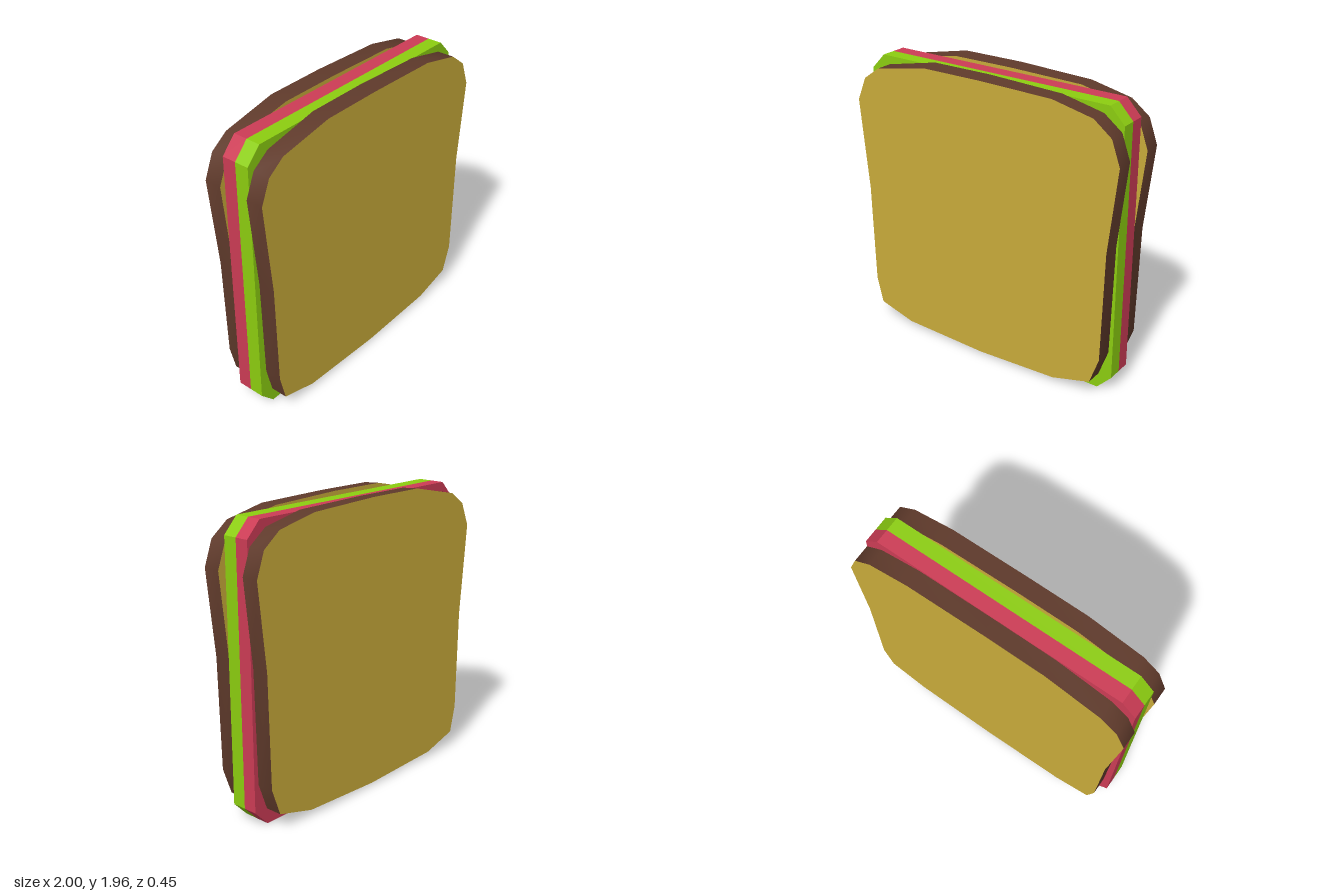
import * as THREE from 'three';
import { toCreasedNormals } from 'three/addons/utils/BufferGeometryUtils.js';

const material = (name, color) => {
  const m = new THREE.MeshStandardMaterial({ color });
  m.name = name;
  return m;
};

// Flat slab cut from an outline, from z = z0 to z = z0 + depth
function slab(points, z0, depth) {
  const shape = new THREE.Shape(points.map(([x, y]) => new THREE.Vector2(x, y)));
  const geometry = new THREE.ExtrudeGeometry(shape, { depth, bevelEnabled: false });
  geometry.translate(0, 0, z0);
  return geometry;
}

export function createModel() {
  const crumb = material('bread crumb', 0xc8aa3a);
  const crust = material('bread crust', 0x5f3a2b);
  const green = material('lettuce green', 0x8ccd10);
  const pink = material('ham pink', 0xcc3c55);
  const group = new THREE.Group();
  group.name = 'sandwich';

  const add = (name, geometry, materials) => {
    const mesh = new THREE.Mesh(geometry, materials);
    mesh.name = name;
    group.add(mesh);
  };

  // Bread: loaf outline, counter-clockwise from the bottom centre
  const loaf = [
    [0, 0.012], [0.585, 0.035], [0.86, 0.11], [0.925, 0.295], [0.94, 1.05],
    [1, 1.62], [0.94, 1.785], [0.815, 1.88], [0.53, 1.94], [0, 1.95],
    [-0.43, 1.948], [-0.815, 1.875], [-0.933, 1.79], [-1, 1.63],
    [-0.94, 1.0], [-0.925, 0.295], [-0.88, 0.11], [-0.62, 0.035],
  ];
  const thickness = 0.118;
  for (const [name, z0] of [['frontBread', 0.105], ['backBread', -0.223]]) {
    const geometry = slab(loaf, z0, thickness);
    // The top crust rises slightly towards the back
    const p = geometry.attributes.position;
    for (let i = 0; i < p.count; i++) {
      if (p.getY(i) > 1.945 && p.getZ(i) < z0 + thickness / 2) p.setY(i, p.getY(i) + 0.008);
    }
    add(name, toCreasedNormals(geometry, 0.6), [crumb, crust]);
  }

  // Fillings: square slices with clipped corners
  const slice = [
    [-0.87, 0], [0.85, 0], [0.95, 0.105], [0.95, 1.825],
    [0.85, 1.93], [-0.87, 1.93], [-0.97, 1.825], [-0.97, 0.105],
  ];
  add('lettuce', slab(slice, 0, 0.098), green);
  add('ham', slab(slice, -0.096, 0.096), pink);

  return group;
}
